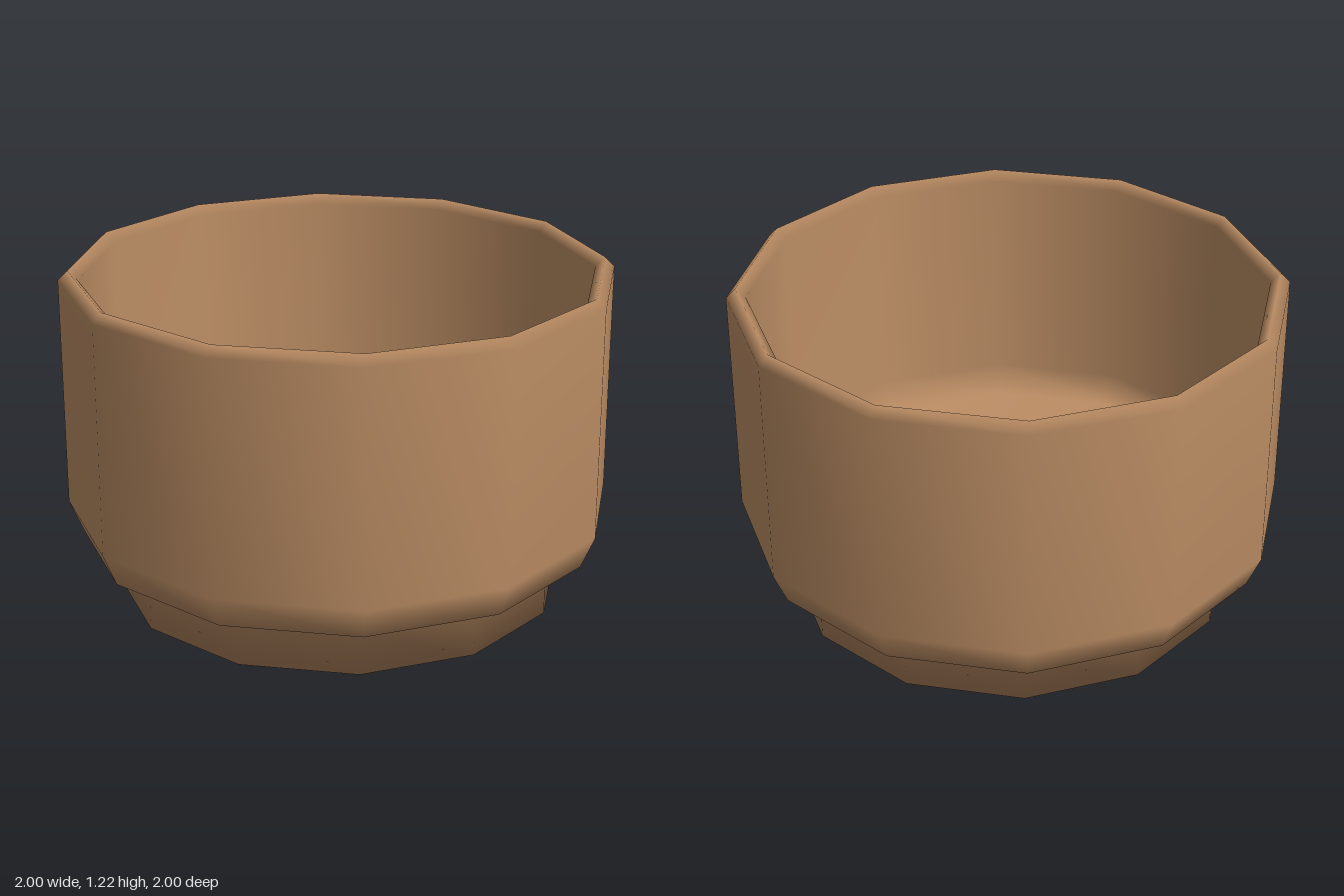
import * as THREE from 'three';

export function createModel() {
  const group = new THREE.Group();
  group.name = 'bowl';

  const clay = new THREE.MeshStandardMaterial({ color: 0xba8c63 });
  clay.name = 'brown clay';

  // Closed profile, radius and height: underside, foot, outer wall, rim, inner wall, floor
  const profile = [
    [0, 0], [0.82, 0], [0.82, 0.15],
    [0.95, 0.21], [1, 0.33], [1, 1.18],
    [0.965, 1.215], [0.93, 1.18],
    [0.93, 0.36], [0.88, 0.25], [0, 0.22],
  ].map(([r, y]) => new THREE.Vector2(r, y));

  // Twelve sides with smooth normals
  const body = new THREE.Mesh(new THREE.LatheGeometry(profile, 12), clay);
  body.name = 'bowlBody';
  group.add(body);

  return group;
}
